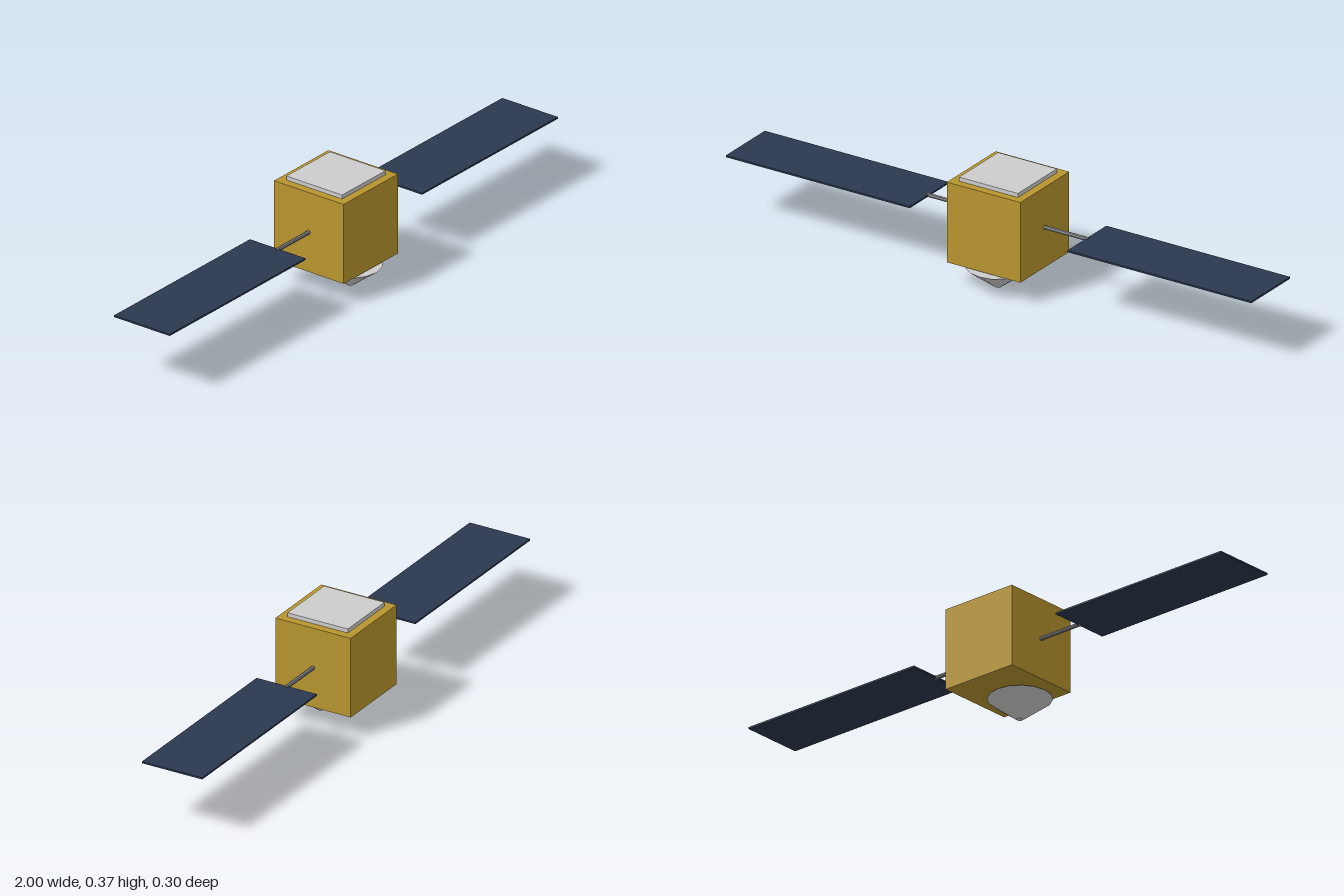
import * as THREE from 'three';

const mat = (name, color, extra = {}) => {
  const m = new THREE.MeshStandardMaterial({ color, ...extra });
  m.name = name;
  return m;
};

export function createModel() {
  const group = new THREE.Group();
  const gold = mat('gold foil', 0xb8962e);
  const silver = mat('silver', 0xcccccc, { flatShading: true });
  const navy = mat('solar navy', 0x2a3850);
  const grey = mat('strut grey', 0x888888, { flatShading: true });

  const add = (name, geometry, material, x, y, z) => {
    const mesh = new THREE.Mesh(geometry, material);
    mesh.name = name;
    mesh.position.set(x, y, z);
    group.add(mesh);
    return mesh;
  };

  const zMid = -0.01;
  const yMid = 0.22;

  // Cube body with a radiator plate on top
  add('body', new THREE.BoxGeometry(0.28, 0.28, 0.28), gold, 0, yMid, zMid);
  add('topPlate', new THREE.BoxGeometry(0.224, 0.014, 0.224), silver, 0, 0.367, zMid);

  // Downward antenna cone, set towards the front
  add('antennaCone', new THREE.CylinderGeometry(0.105, 0.0105, 0.072, 16), silver, 0, 0.036, 0.047);

  // Struts and solar panels on both sides
  for (const [side, s] of [['left', 1], ['right', -1]]) {
    const strut = add(side + 'Strut', new THREE.CylinderGeometry(0.007, 0.007, 0.168, 8), grey, s * 0.224, yMid, zMid);
    strut.rotation.z = Math.PI / 2;
    add(side + 'SolarPanel', new THREE.BoxGeometry(0.7, 0.006, 0.224), navy, s * 0.65, yMid, zMid);
  }
  return group;
}
